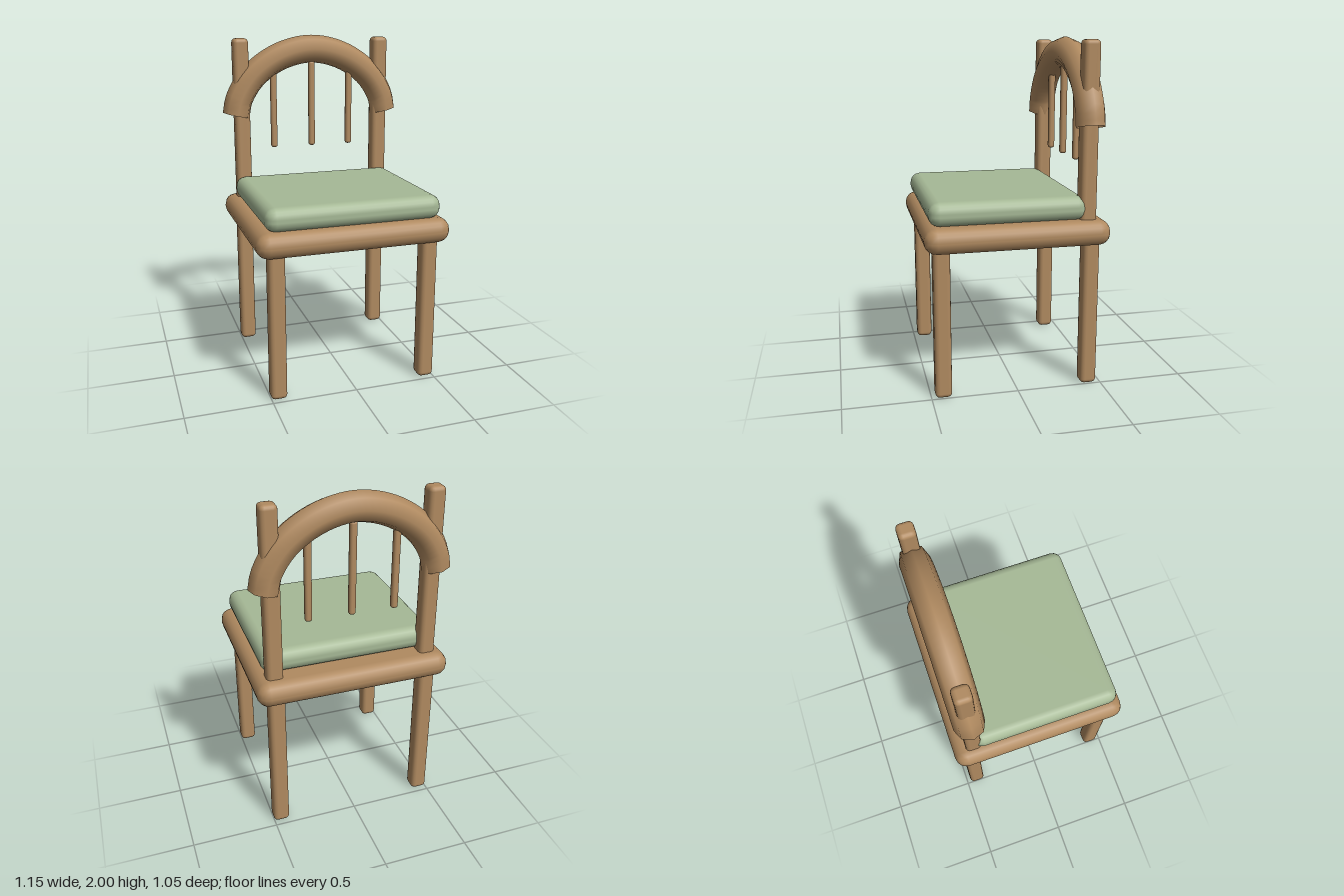
import * as THREE from 'three';
import { RoundedBoxGeometry } from 'three/addons/geometries/RoundedBoxGeometry.js';

export function createModel() {
  const chair = new THREE.Group();
  chair.name = 'chair';
  const wood = new THREE.MeshStandardMaterial({ color: 0xb08a60 });
  const woodOpen = new THREE.MeshStandardMaterial({ color: 0xb08a60, side: THREE.DoubleSide });
  const fabric = new THREE.MeshStandardMaterial({ color: 0xa6b996 });

  const add = (name, geometry, material) => {
    const mesh = new THREE.Mesh(geometry, material);
    mesh.name = name;
    chair.add(mesh);
    return mesh;
  };
  // Rounded bar or slab standing from y0 to y1
  const block = (name, w, d, y0, y1, x, z, radius, material = wood) =>
    add(name, new RoundedBoxGeometry(w, y1 - y0, d, 2, radius), material)
      .position.set(x, (y0 + y1) / 2, z);

  // Seat and cushion
  block('seat', 1.14, 1.054, 0.85, 0.997, 0, 0, 0.07);
  block('cushion', 1.03, 0.895, 0.993, 1.13, 0, 0.048, 0.06, fabric);

  // Legs and back posts, mirrored left and right
  for (const [side, s] of [['left', 1], ['right', -1]]) {
    block(side + 'FrontLeg', 0.096, 0.096, 0, 0.9, s * 0.455, 0.43, 0.026);
    block(side + 'BackLeg', 0.096, 0.096, 0, 0.9, s * 0.455, -0.427, 0.026);
    block(side + 'BackPost', 0.096, 0.096, 0.95, 1.985, s * 0.455, -0.403, 0.026);
  }

  // Spindles hanging from the arch
  for (const x of [-0.25, 0, 0.25]) block('spindle', 0.04, 0.04, 1.3, 1.84, x, -0.4, 0.015);

  // Arched top rail, an open-ended tube
  const half = [[0.49, 1.515], [0.468, 1.615], [0.374, 1.757], [0.2, 1.872]];
  const points = [
    ...half.map(([x, y]) => [-x, y]),
    [0, 1.915],
    ...half.slice().reverse(),
  ].map(([x, y]) => new THREE.Vector3(x, y, -0.402));
  add('archRail', new THREE.TubeGeometry(new THREE.CatmullRomCurve3(points), 40, 0.086, 8), woodOpen);

  return chair;
}
